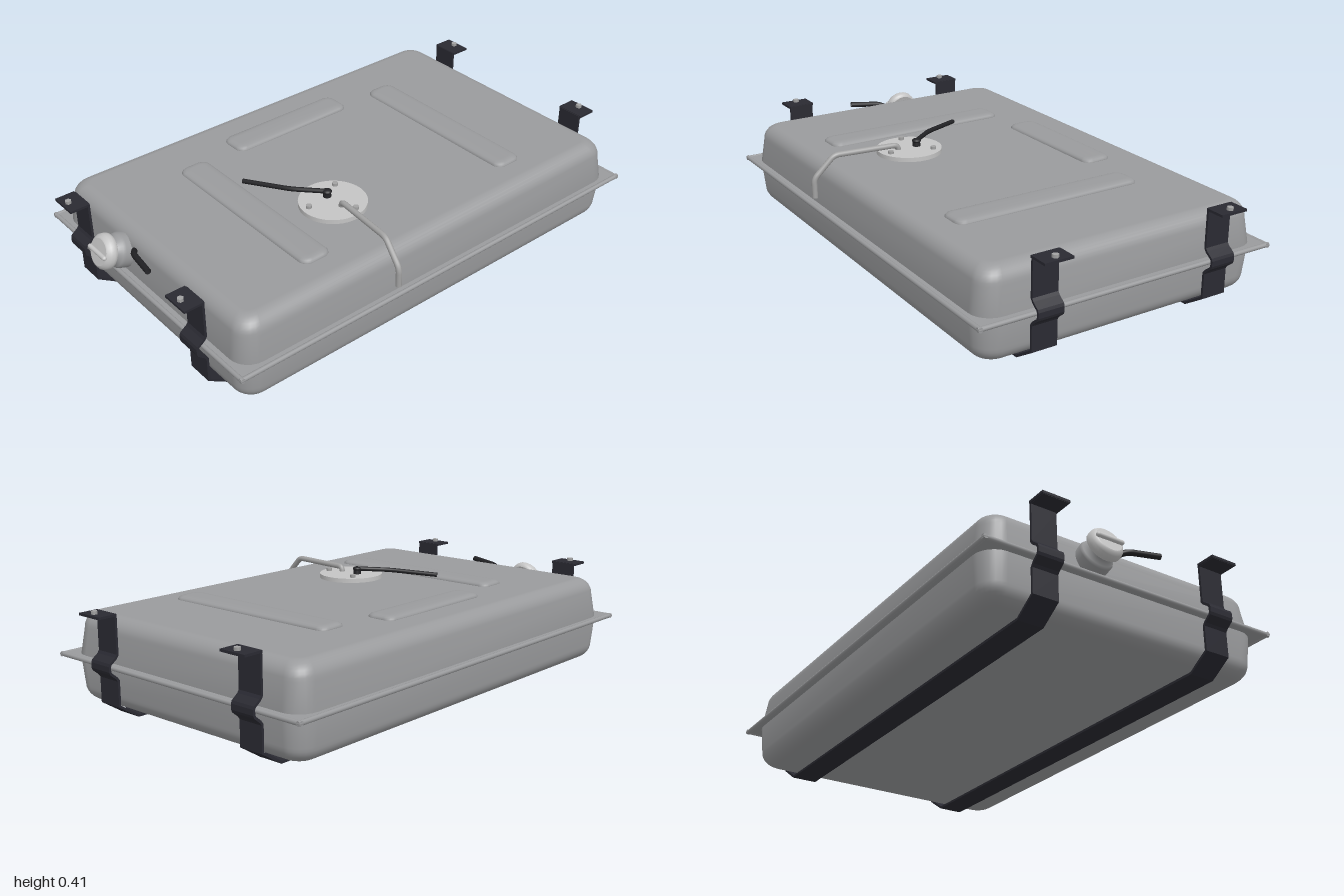
import * as THREE from 'three';

const mat = (name, color, side = THREE.FrontSide) => {
  const m = new THREE.MeshStandardMaterial({ color, side });
  m.name = name;
  return m;
};

// Stacks rounded rectangles; rings are [y, inset] from bottom to top
function loft(rings, hx, hz, r, steps = 6) {
  const pos = [], idx = [], n = 4 * (steps + 1);
  for (const [y, inset] of rings) {
    const rr = Math.max(0.008, r - inset * 0.6);
    for (let q = 0; q < 4; q++) for (let s = 0; s <= steps; s++) {
      const a = (q + s / steps) * Math.PI / 2;
      const sx = q === 0 || q === 3 ? 1 : -1, sz = q < 2 ? 1 : -1;
      pos.push(sx * (hx - inset - rr) + rr * Math.cos(a), y, sz * (hz - inset - rr) + rr * Math.sin(a));
    }
  }
  const last = (rings.length - 1) * n, c = rings.length * n;
  pos.push(0, rings[0][0], 0, 0, rings[rings.length - 1][0], 0);
  for (let i = 0; i < n; i++) {
    const j = (i + 1) % n;
    for (let k = 0; k < last; k += n) idx.push(k + i, k + n + i, k + j, k + j, k + n + i, k + n + j);
    idx.push(c, i, j, c + 1, last + j, last + i);
  }
  const g = new THREE.BufferGeometry();
  g.setAttribute('position', new THREE.Float32BufferAttribute(pos, 3));
  g.setIndex(idx);
  g.computeVertexNormals();
  return g;
}

// Turns an open [z, y] path into a thin band of the given width along x
function band(path, thick, width) {
  const p = path.map(([x, y]) => new THREE.Vector2(x, y));
  const normal = (a, b) => new THREE.Vector2(a.y - b.y, b.x - a.x).normalize();
  const inner = p.map((v, i) => {
    const n1 = normal(p[Math.max(i - 1, 0)], p[Math.max(i, 1)]);
    const n2 = normal(p[Math.min(i, p.length - 2)], p[Math.min(i + 1, p.length - 1)]);
    const m = n1.clone().add(n2).normalize();
    return v.clone().addScaledVector(m, thick / m.dot(n1));
  });
  const g = new THREE.ExtrudeGeometry(new THREE.Shape([...p, ...inner.reverse()]),
    { depth: width, bevelEnabled: false });
  return g.translate(0, 0, -width / 2).rotateY(-Math.PI / 2);
}

// Round pipe through points with softened bends and closed ends
function pipe(points, radius, bend) {
  const v = points.map(p => new THREE.Vector3(...p));
  const path = new THREE.CurvePath();
  let from = v[0];
  for (let i = 1; i < v.length - 1; i++) {
    const a = v[i].clone().add(v[i - 1].clone().sub(v[i]).setLength(bend));
    const b = v[i].clone().add(v[i + 1].clone().sub(v[i]).setLength(bend));
    path.add(new THREE.LineCurve3(from, a));
    path.add(new THREE.QuadraticBezierCurve3(a, v[i], b));
    from = b;
  }
  path.add(new THREE.LineCurve3(from, v[v.length - 1]));
  return new THREE.TubeGeometry(path, 60, radius, 12);
}

export function createModel() {
  const model = new THREE.Group();
  const steel = mat('tank grey', 0x9a9b9d);
  const light = mat('light metal', 0xc4c4c4);
  const strapMat = mat('strap black', 0x2a2a32);
  const rubber = mat('hose black', 0x222225, THREE.DoubleSide);
  const pipeMat = mat('pipe grey', 0xa2a2a2, THREE.DoubleSide);
  const add = (name, geo, m, x = 0, y = 0, z = 0, parent = model) => {
    const mesh = new THREE.Mesh(geo, m);
    mesh.name = name;
    mesh.position.set(x, y, z);
    parent.add(mesh);
    return mesh;
  };
  const cz = -0.016;

  // Tank shell: two tapered halves with rounded edges
  const rings = [], R = 0.06;
  for (let i = 0; i <= 8; i++) {
    const a = i / 8 * Math.PI / 2;
    rings.push([0.03 + R * (1 - Math.cos(a)), 0.01 + R * (1 - Math.sin(a))]);
  }
  rings.push([0.2, 0]);
  for (let i = 0; i <= 8; i++) {
    const a = i / 8 * Math.PI / 2;
    rings.push([0.303 + R * Math.sin(a), 0.016 + R * (1 - Math.cos(a))]);
  }
  add('tankBody', loft(rings, 0.576, 0.897, 0.08), steel, 0, 0, cz);

  // Seam flange with rolled rim
  const fx = 0.597, fz = 0.92;
  add('seamFlange', new THREE.BoxGeometry(fx * 2, 0.012, fz * 2), steel, 0, 0.2, cz);
  for (const s of [-1, 1]) {
    add('flangeRimSide', new THREE.CylinderGeometry(0.009, 0.009, fz * 2 + 0.016, 10).rotateX(Math.PI / 2),
      steel, s * fx, 0.2, cz);
    add('flangeRimEnd', new THREE.CylinderGeometry(0.009, 0.009, fx * 2 + 0.016, 10).rotateZ(Math.PI / 2),
      steel, 0, 0.2, cz + s * fz);
  }

  // Pressed ribs on the top
  const ribRings = [[0.355, 0], [0.366, 0.001], [0.372, 0.006], [0.376, 0.015], [0.378, 0.03]];
  for (const [x, z, hx, hz] of [[0.05, -0.485, 0.382, 0.061], [0.05, 0.453, 0.382, 0.061], [-0.35, -0.015, 0.061, 0.27]])
    add('topRib', loft(ribRings, hx, hz, 0.035), steel, x, 0, z);

  // Mounting straps with bolted tabs
  const half = [[0.83, 0], [0.915, 0.055], [0.915, 0.15], [0.922, 0.16], [0.946, 0.18], [0.95, 0.19],
    [0.95, 0.21], [0.946, 0.22], [0.922, 0.238], [0.915, 0.248], [0.915, 0.384], [0.983, 0.384]];
  const path = [...half.map(([z, y]) => [-z, y]).reverse(), ...half];
  for (const x of [-0.371, 0.347]) {
    const strap = new THREE.Group();
    strap.name = 'strap';
    strap.position.set(x, 0, -0.01);
    model.add(strap);
    add('strapBand', band(path, 0.009, 0.1), strapMat, 0, 0, 0, strap);
    for (const s of [-1, 1]) {
      add('strapTab', new THREE.BoxGeometry(0.11, 0.009, 0.076), strapMat, 0, 0.39, s * 0.948, strap);
      add('strapBolt', new THREE.CylinderGeometry(0.012, 0.012, 0.016, 6), pipeMat, 0, 0.398, s * 0.963, strap);
    }
  }

  // Sender plate with screws
  add('senderPlate', new THREE.CylinderGeometry(0.127, 0.127, 0.02, 48), light, 0.205, 0.37, 0.203);
  for (const [x, z] of [[0.135, 0.135], [0.3, 0.175], [0.187, 0.3]])
    add('plateScrew', new THREE.CylinderGeometry(0.011, 0.011, 0.012, 12), pipeMat, x, 0.385, z);
  add('cableFitting', new THREE.CylinderGeometry(0.014, 0.016, 0.025, 16), rubber, 0.172, 0.389, 0.203);
  add('cableKnob', new THREE.SphereGeometry(0.018, 16, 10).scale(1, 0.5, 1), rubber, 0.172, 0.401, 0.203);
  add('senderCable', pipe([[0.172, 0.401, 0.203], [0.07, 0.396, 0.29], [-0.1, 0.384, 0.382]], 0.009, 0.03), rubber);

  // Vent pipe running over the side
  add('ventPipe', pipe([[0.253, 0.37, 0.203], [0.253, 0.398, 0.203], [0.515, 0.398, 0.226],
    [0.597, 0.315, 0.235], [0.597, 0.24, 0.235]], 0.011, 0.02), pipeMat);

  // Filler neck and cap, tilted upward
  const filler = new THREE.Group();
  filler.name = 'filler';
  filler.position.set(-0.157, 0.275, 0.88);
  filler.rotation.x = Math.PI / 2 - 0.34;
  model.add(filler);
  const lathe = pts => new THREE.LatheGeometry(pts.map(p => new THREE.Vector2(...p)), 36);
  add('fillerNeck', lathe([[0.064, -0.03], [0.064, -0.03], [0.065, 0.018], [0.06, 0.028], [0.046, 0.04], [0.045, 0.06]]),
    steel, 0, 0, 0, filler);
  add('fillerCap', lathe([[0, 0.05], [0.058, 0.05], [0.058, 0.05], [0.065, 0.056], [0.066, 0.066], [0.064, 0.08],
    [0.056, 0.09], [0.05, 0.093], [0.05, 0.093], [0, 0.094]]), light, 0, 0, 0, filler);
  add('capGrip', new THREE.CapsuleGeometry(0.009, 0.095, 6, 12).rotateZ(Math.PI / 2), light, 0, 0.098, 0, filler);

  // Breather hose beside the filler
  add('breatherHose', pipe([[-0.085, 0.305, 0.865], [-0.03, 0.337, 0.9], [0.1, 0.349, 0.922]], 0.011, 0.025), rubber);

  return model;
}
